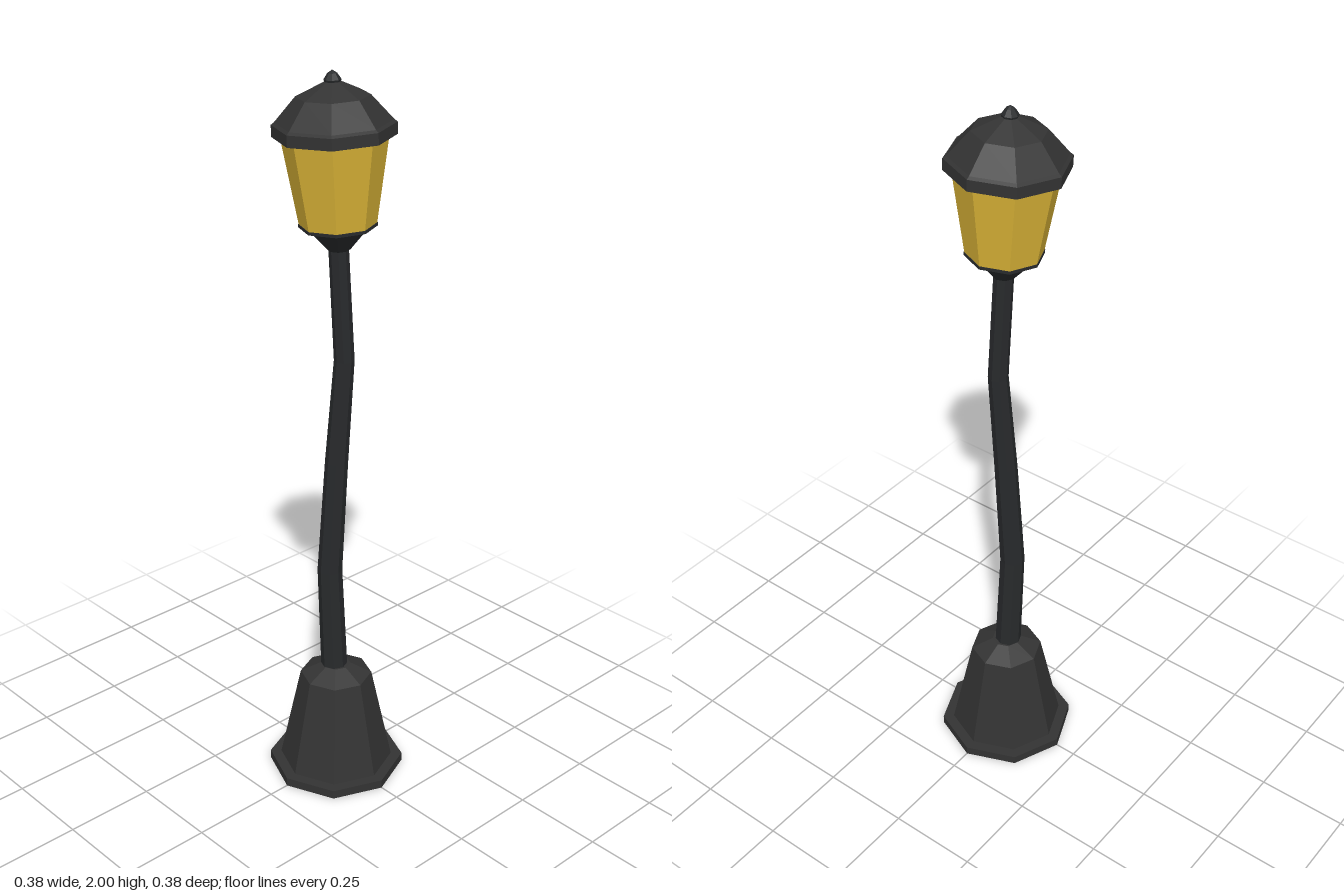
import * as THREE from 'three';

const SIDES = 8;

export function createModel() {
  const iron = new THREE.MeshStandardMaterial({ color: 0x333333 });
  const poleIron = new THREE.MeshStandardMaterial({ color: 0x282a2c });
  const glass = new THREE.MeshStandardMaterial({ color: 0xdab437 });
  iron.name = 'castIron';
  poleIron.name = 'poleIron';
  glass.name = 'amberGlass';
  for (const m of [iron, poleIron, glass]) m.flatShading = true;

  // Octagonal turned part from [radius, height] pairs, bottom to top
  const turned = (name, profile, material) => {
    const points = profile.map(([r, y]) => new THREE.Vector2(r, y));
    const mesh = new THREE.Mesh(new THREE.LatheGeometry(points, SIDES), material);
    mesh.name = name;
    return mesh;
  };

  const model = new THREE.Group();
  model.name = 'streetLamp';

  // Foot plate and tapered plinth
  model.add(
    turned('footPlate', [[0, 0], [0.19, 0], [0.19, 0.025], [0, 0.025]], iron),
    turned('plinth', [[0.16, 0.02], [0.1, 0.3], [0.04, 0.33], [0, 0.33]], iron),
  );

  // Crooked pole: each ring is [offset, height, radius]; it bends along x and -z
  const rings = [
    [-0.003, 0.3, 0.037], [-0.012, 0.63, 0.034], [0.001, 0.96, 0.031],
    [0.015, 1.25, 0.027], [0.004, 1.57, 0.026],
  ];
  const poleGeometry = new THREE.CylinderGeometry(1, 1, 1, SIDES, rings.length - 1);
  const p = poleGeometry.attributes.position;
  for (let i = 0; i < p.count; i++) {
    const [offset, y, r] = rings[Math.round((p.getY(i) + 0.5) * (rings.length - 1))];
    p.setXYZ(i, p.getX(i) * r + offset, y, p.getZ(i) * r - offset);
  }
  poleGeometry.computeVertexNormals();
  const pole = new THREE.Mesh(poleGeometry, poleIron);
  pole.name = 'pole';
  model.add(pole);

  // Lantern head, leaning slightly (heights measured from the top of the pole)
  const lantern = new THREE.Group();
  lantern.name = 'lantern';
  lantern.position.set(0.005, 1.55, -0.005);
  lantern.rotation.set(0.026, 0, 0.026);
  lantern.add(
    turned('holder', [[0, 0], [0.03, 0], [0.075, 0.052], [0.1, 0.06], [0.1, 0.068], [0, 0.068]], poleIron),
    turned('lampGlass', [[0.098, 0.066], [0.136, 0.3]], glass),
    turned('roof', [
      [0, 0.29], [0.155, 0.29], [0.155, 0.32], [0.147, 0.326],
      [0.092, 0.388], [0.02, 0.422], [0, 0.424],
    ], iron),
    turned('finial', [[0.018, 0.415], [0.022, 0.427], [0.012, 0.442], [0, 0.45]], poleIron),
  );
  model.add(lantern);

  return model;
}
